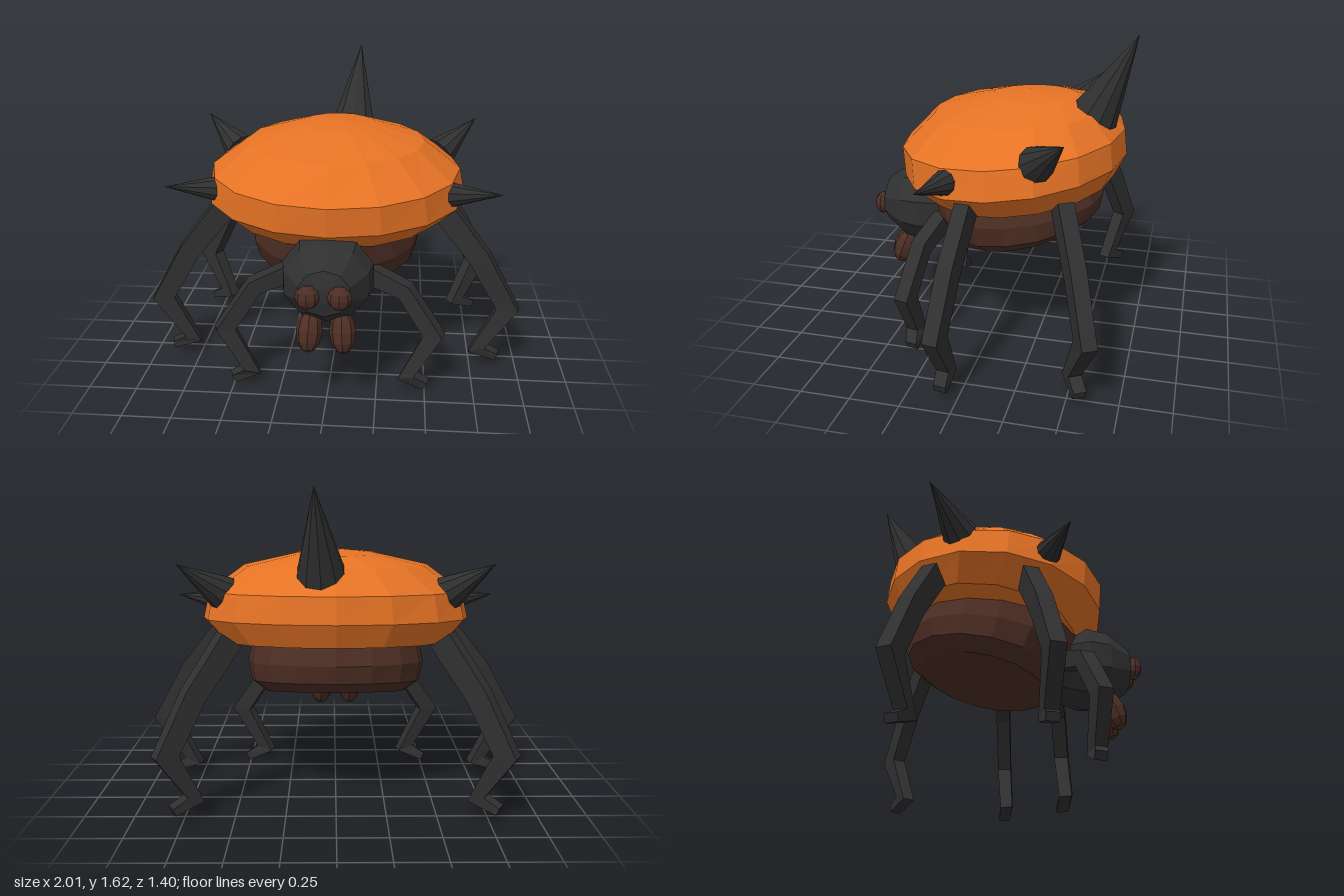
import * as THREE from 'three';

const V = (x, y, z) => new THREE.Vector3(x, y, z);
const paint = (color) => new THREE.MeshStandardMaterial({ color, flatShading: true });
const UP = V(0, 1, 0);

// Skin a stack of equal rings and close both ends with fans
function loft(rings) {
  const n = rings[0].length, pos = [], index = [];
  rings.forEach((ring) => ring.forEach((p) => pos.push(p.x, p.y, p.z)));
  for (let i = 0; i < rings.length - 1; i++) {
    for (let j = 0; j < n; j++) {
      const a = i * n + j, b = i * n + ((j + 1) % n);
      index.push(a, b, b + n, a, b + n, a + n);
    }
  }
  [0, rings.length - 1].forEach((r) => {
    const c = rings[r].reduce((s, p) => s.add(p), V(0, 0, 0)).divideScalar(n);
    const k = pos.length / 3;
    pos.push(c.x, c.y, c.z);
    for (let j = 0; j < n; j++) {
      const a = r * n + j, b = r * n + ((j + 1) % n);
      index.push(...(r === 0 ? [k, b, a] : [k, a, b]));
    }
  });
  const g = new THREE.BufferGeometry();
  g.setAttribute('position', new THREE.Float32BufferAttribute(pos, 3));
  g.setIndex(index);
  g.computeVertexNormals();
  return g;
}

// Tilted ellipse given by its half width and its front and back points
function tiltedRing([rx, zf, yf, zb, yb], n = 16) {
  return Array.from({ length: n }, (_, i) => {
    const a = (i / n) * Math.PI * 2, t = (1 + Math.cos(a)) / 2;
    return V(rx * Math.sin(a), yb + (yf - yb) * t, zb + (zf - zb) * t);
  });
}

// Four-sided limb bent in a vertical plane; points are [x, y, z, half width, half depth]
function limb(points) {
  const p = points.map((q) => V(q[0], q[1], q[2]));
  const last = p.length - 1;
  const out = p[2].clone().sub(p[0]).setY(0).normalize();
  const u = UP.clone().cross(out).normalize();
  const rings = p.map((c, i) => {
    const before = c.clone().sub(p[Math.max(i - 1, 0)]).normalize();
    const after = p[Math.min(i + 1, last)].clone().sub(c).normalize();
    const t = before.add(after).normalize();
    const n = t.cross(u).normalize();
    const [w, h] = points[i].slice(3);
    return [[1, 1], [-1, 1], [-1, -1], [1, -1]].map(([a, b]) =>
      c.clone().addScaledVector(u, a * w).addScaledVector(n, b * h));
  });
  return loft(rings);
}

export function createModel() {
  const model = new THREE.Group();
  const orange = paint(0xe67325), brown = paint(0x4d2e24), black = paint(0x303030);

  const add = (name, geometry, material, parent = model) => {
    const mesh = new THREE.Mesh(geometry, material);
    mesh.name = name;
    parent.add(mesh);
    return mesh;
  };

  // Broad shell, tilted up towards the back
  add('shell', loft([
    [0.58, 0.35, 0.77, -0.6, 0.88],
    [0.69, 0.49, 0.88, -0.66, 1.0],
    [0.66, 0.505, 1.03, -0.645, 1.13],
    [0.47, 0.34, 1.2, -0.53, 1.24],
    [0.2, 0.04, 1.285, -0.4, 1.29],
    [0.03, -0.14, 1.305, -0.2, 1.305],
  ].map((r) => tiltedRing(r))), orange);

  // Belly with a flat underside
  add('belly', loft([
    [0.36, 0.2, 0.48, -0.46, 0.63],
    [0.44, 0.27, 0.54, -0.53, 0.69],
    [0.46, 0.34, 0.65, -0.55, 0.78],
    [0.43, 0.37, 0.79, -0.51, 0.9],
  ].map((r) => tiltedRing(r))), brown);

  // Head, blunt at the front
  const head = add('head', loft([
    [0.1, 0.2], [0.19, 0.25], [0.24, 0.4], [0.22, 0.51], [0.13, 0.63], [0.04, 0.65],
  ].map(([r, z]) => Array.from({ length: 10 }, (_, i) => {
    const a = (i / 10) * Math.PI * 2 + Math.PI / 10;
    return V(r * Math.cos(a), 0.65 + r * 0.92 * Math.sin(a), z);
  }))), black);
  head.position.y = 0.0;

  // Spike as a cone from a buried base to its tip
  const spike = (name, base, tip, radius) => {
    const dir = tip.clone().sub(base);
    const mesh = add(name, new THREE.ConeGeometry(radius, dir.length(), 10), black);
    mesh.position.copy(base).addScaledVector(dir, 0.5);
    mesh.quaternion.setFromUnitVectors(UP, dir.normalize());
  };
  spike('tallSpike', V(0.07, 1.2, -0.49), V(0.1, 1.63, -0.7), 0.125);

  for (const [side, s] of [['left', 1], ['right', -1]]) {
    spike(`${side}RearSpike`, V(s * 0.56, 1.1, -0.3), V(s * 0.76, 1.26, -0.46), 0.09);
    spike(`${side}FrontSpike`, V(s * 0.57, 0.99, 0.11), V(s * 0.865, 1.02, 0.19), 0.077);

    // Eye and fang
    const eye = add(`${side}Eye`, new THREE.SphereGeometry(0.06, 8, 6), brown);
    eye.scale.z = 0.75;
    eye.position.set(s * 0.078, 0.64, 0.652);
    const fang = add(`${side}Fang`, new THREE.SphereGeometry(1, 8, 6), brown);
    fang.scale.set(0.067, 0.108, 0.068);
    fang.rotation.set(-0.35, 0, s * 0.06);
    fang.position.set(s * 0.083, 0.4, 0.53);

    // Legs: root, thigh, knee, ankle, toe
    const legs = {
      FrontLeg: [
        [0.16, 0.63, 0.27, 0.04, 0.05], [0.39, 0.545, 0.33, 0.04, 0.042],
        [0.54, 0.32, 0.37, 0.038, 0.05], [0.41, 0.075, 0.365, 0.034, 0.045],
        [0.51, 0.025, 0.36, 0.032, 0.022]],
      MiddleLeg: [
        [0.57, 0.89, 0.025, 0.038, 0.06], [0.78, 0.63, 0.06, 0.04, 0.055],
        [0.94, 0.35, 0.085, 0.038, 0.058], [0.79, 0.1, 0.08, 0.034, 0.045],
        [0.9, 0.06, 0.08, 0.032, 0.02]],
      RearLeg: [
        [0.52, 0.89, -0.42, 0.04, 0.06], [0.69, 0.63, -0.515, 0.04, 0.055],
        [0.82, 0.35, -0.59, 0.038, 0.058], [0.7, 0.11, -0.515, 0.034, 0.045],
        [0.8, 0.065, -0.57, 0.032, 0.02]],
    };
    for (const [name, pts] of Object.entries(legs)) {
      add(side + name, limb(pts.map(([x, ...rest]) => [s * x, ...rest])), black);
    }
  }
  return model;
}
